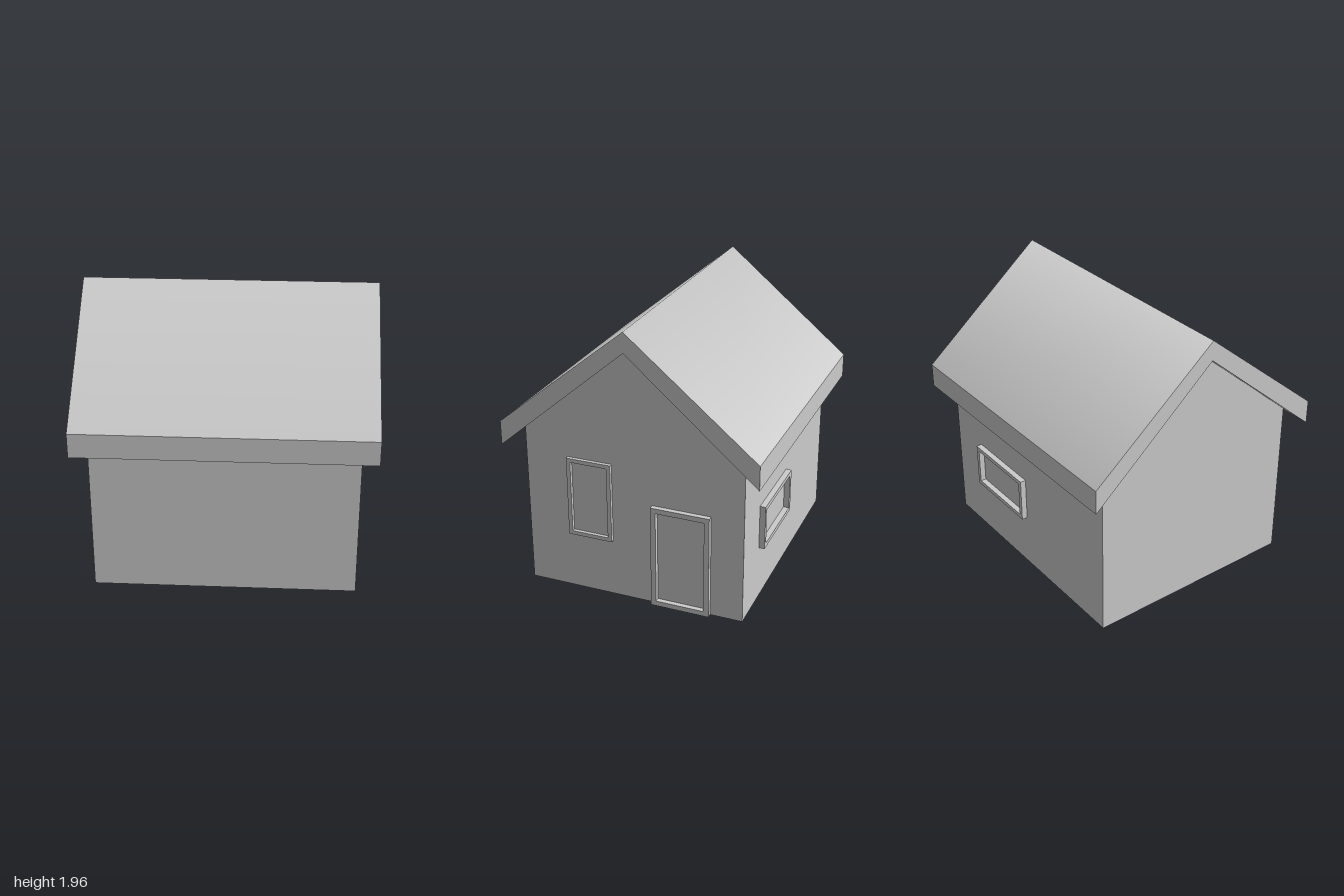
import * as THREE from 'three';

const grey = new THREE.MeshStandardMaterial({ color: 0xcccccc });

function polygon(points) {
  return new THREE.Shape(points.map(([x, y]) => new THREE.Vector2(x, y)));
}

// Extrudes a (z, y) outline along x, centred on x = 0.
function alongX(points, length) {
  const geo = new THREE.ExtrudeGeometry(polygon(points), { depth: length, bevelEnabled: false });
  return geo.translate(0, 0, -length / 2).rotateY(-Math.PI / 2).scale(1, 1, 1);
}

function mesh(name, geo) {
  const m = new THREE.Mesh(geo, grey);
  m.name = name;
  return m;
}

// Rectangular frame with an opening, its back on z = 0.
function frame(name, width, height, depth, border) {
  const w = width / 2;
  const shape = polygon([[-w, 0], [w, 0], [w, height], [-w, height]]);
  const i = w - border;
  shape.holes.push(polygon([[-i, border], [-i, height - border], [i, height - border], [i, border]]));
  return mesh(name, new THREE.ExtrudeGeometry(shape, { depth, bevelEnabled: false }));
}

export function createModel() {
  const house = new THREE.Group();
  house.name = 'house';

  // Walls with gable ends
  const wallLine = [[-0.77, 0], [0.77, 0], [0.77, 1.155], [0, 1.815], [-0.77, 1.155]];
  house.add(mesh('walls', alongX(wallLine, 1.79)));

  // Overhanging gable roof
  const ridge = 1.955;
  const roofLine = [[-0.895, 1.045], [0, 1.816], [0.895, 1.045], [0.895, 1.215], [0, ridge], [-0.895, 1.215]];
  const roof = alongX(roofLine, 2);
  // Shading runs smoothly over the ridge; the gable ends stay flat
  const { position, normal } = roof.attributes;
  for (let i = 0; i < position.count; i++) {
    if (position.getY(i) > ridge - 0.01 && Math.abs(normal.getX(i)) < 0.5) normal.setXYZ(i, 0, 1, 0);
  }
  house.add(mesh('roof', roof));

  // Door and window on the left gable wall
  const door = frame('doorFrame', 0.41, 0.74, 0.035, 0.036);
  door.position.set(0.895, 0, -0.34);
  door.rotation.y = Math.PI / 2;

  const sideWindow = frame('sideWindowFrame', 0.316, 0.57, 0.025, 0.028);
  sideWindow.position.set(0.895, 0.416, 0.308);
  sideWindow.rotation.y = Math.PI / 2;

  // Wide window on the back wall
  const backWindow = frame('backWindowFrame', 0.58, 0.315, 0.04, 0.03);
  backWindow.position.set(0.29, 0.387, -0.77);
  backWindow.rotation.y = Math.PI;

  house.add(door, sideWindow, backWindow);
  return house;
}
